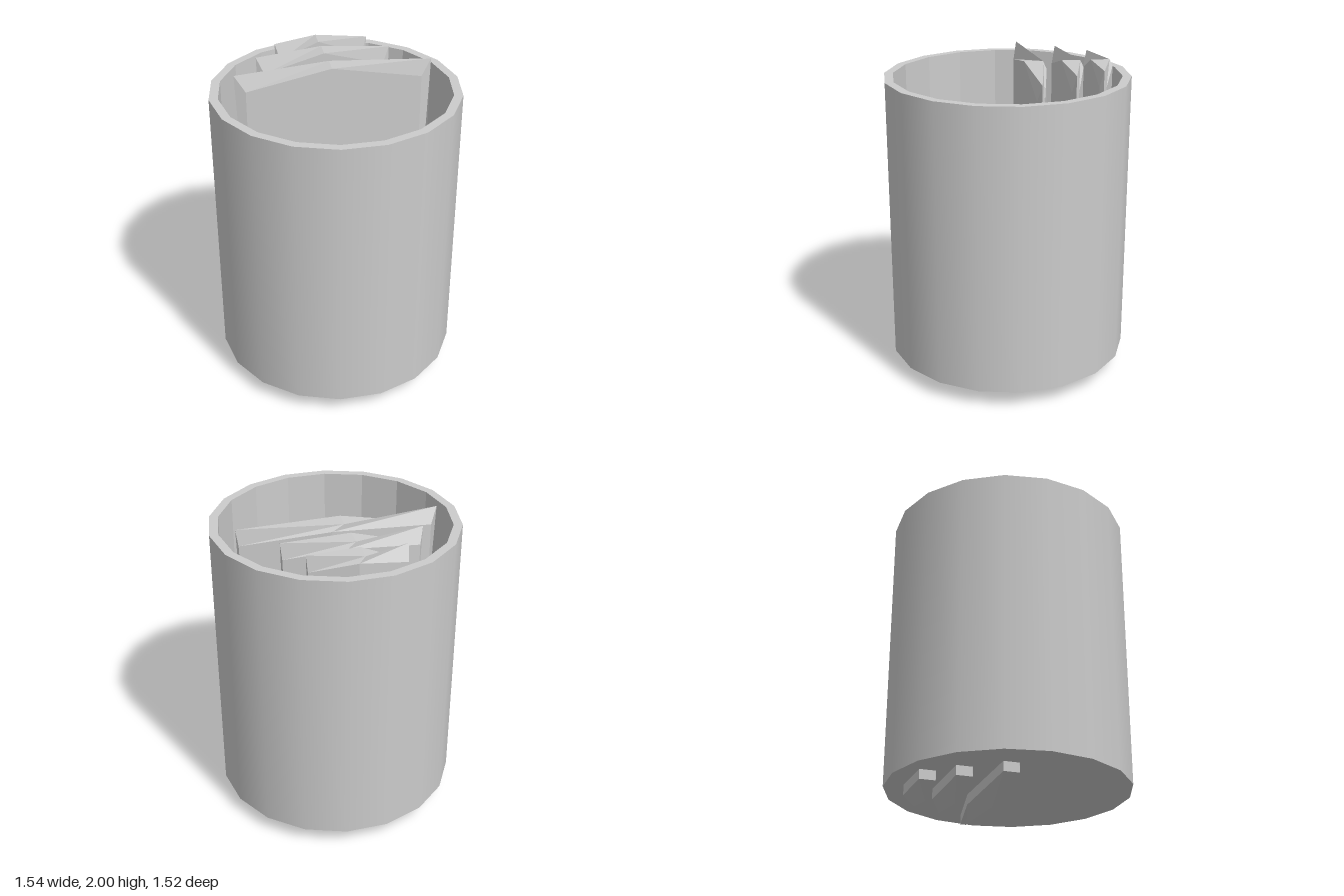
import * as THREE from 'three';

const SIDES = 18;
const smooth = new THREE.MeshStandardMaterial({ color: 0xcccccc });
const flat = new THREE.MeshStandardMaterial({ color: 0xcccccc, flatShading: true });
const flatDouble = new THREE.MeshStandardMaterial({ color: 0xcccccc, flatShading: true, side: THREE.DoubleSide });

// Open cup: each step of the profile is its own band, so the edges stay sharp
function makeCup() {
  const cup = new THREE.Group();
  cup.name = 'cup';
  const profile = [[0, 0.11], [0.77, 0.11], [0.77, 1.92], [0.715, 1.92], [0.715, 0.165], [0, 0.165]];
  const names = ['underside', 'outerWall', 'rim', 'innerWall', 'floor'];
  names.forEach((name, i) => {
    const points = [profile[i], profile[i + 1]].map(([r, y]) => new THREE.Vector2(r, y));
    const band = new THREE.Mesh(
      new THREE.LatheGeometry(points, SIDES, Math.PI / 2),
      name === 'outerWall' ? smooth : flat
    );
    band.name = name;
    cup.add(band);
  });
  return cup;
}

// Slab sections at the left end, middle and right end.
// Points run front bottom, front top, ridge, back top, back bottom;
// x is a fraction of the half length, z is measured back from the front face.
const SECTIONS = [
  [[-0.89, 0.05, 0], [-0.89, 1.895, 0], [-1, 2, -0.025], [-0.89, 1.93, -0.12], [-0.89, 0.05, -0.1]],
  [[0, 0, 0], [0, 2, 0], [0.01, 2, -0.118], [0.13, 1.965, -0.13], [0.2, 0.045, -0.12]],
  [[0.9, 0.05, 0], [0.9, 1.895, 0], [1, 2, -0.022], [0.98, 1.9, -0.038], [0.9, 0.05, -0.038]],
];

// Faceted slab piercing the cup floor and rising past the rim
function makeSlab(name, xLeft, xRight, zFront) {
  const positions = SECTIONS.flat().flatMap(([x, y, z]) => [x < 0 ? -x * xLeft : x * xRight, y, zFront + z]);
  const n = SECTIONS[0].length;
  const index = [];
  for (let s = 0; s < SECTIONS.length - 1; s++) {
    for (let k = 0; k < n; k++) {
      const a = s * n + k, d = s * n + (k + 1) % n;
      index.push(a, a + n, d + n, a, d + n, d);
    }
  }
  // End caps
  const last = (SECTIONS.length - 1) * n;
  for (let k = 1; k < n - 1; k++) {
    index.push(0, k, k + 1, last, last + k + 1, last + k);
  }
  const geometry = new THREE.BufferGeometry();
  geometry.setAttribute('position', new THREE.Float32BufferAttribute(positions, 3));
  geometry.setIndex(index);
  geometry.computeVertexNormals();
  const slab = new THREE.Mesh(geometry, flatDouble);
  slab.name = name;
  return slab;
}

export function createModel() {
  const model = new THREE.Group();
  model.name = 'cupWithSlabs';
  model.add(makeCup());
  model.add(makeSlab('longSlab', -0.6, 0.635, -0.105));
  model.add(makeSlab('middleSlab', -0.43, 0.425, -0.34));
  model.add(makeSlab('shortSlab', -0.28, 0.32, -0.525));
  return model;
}
